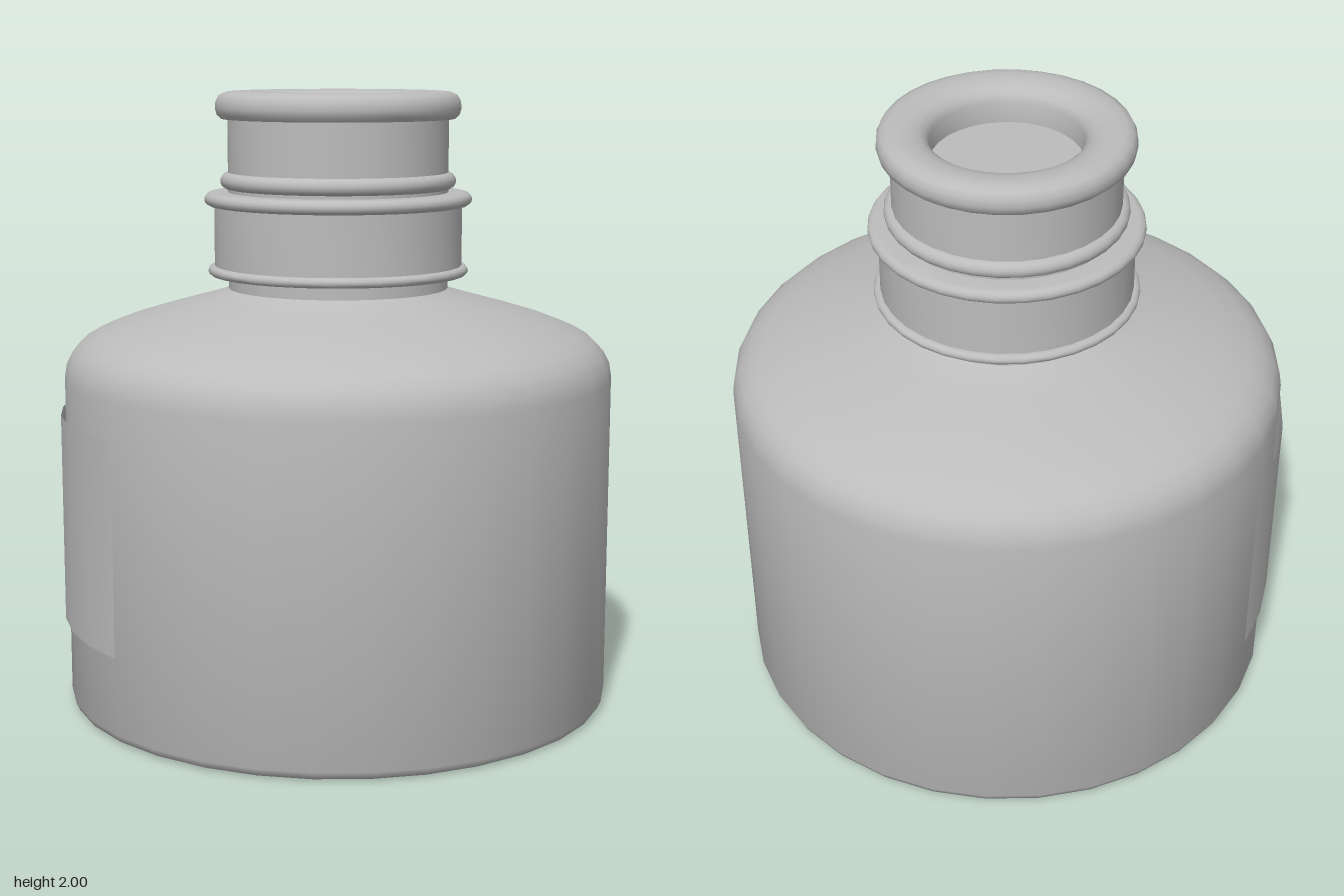
import * as THREE from 'three';
import { toCreasedNormals } from 'three/addons/utils/BufferGeometryUtils.js';

const SIDES = 32;

export function createModel() {
  const bottle = new THREE.Group();
  bottle.name = 'bottle';

  const grey = new THREE.MeshStandardMaterial({ color: 0xbcbcbc, side: THREE.DoubleSide });
  grey.name = 'plain grey';

  const add = (name, geometry) => {
    const mesh = new THREE.Mesh(geometry, grey);
    mesh.name = name;
    bottle.add(mesh);
    return mesh;
  };

  // Turned part from [radius, height] pairs, listed from bottom to top
  const turned = (name, profile, crease = 0.75) => {
    const points = profile.map(([r, y]) => new THREE.Vector2(r, y));
    return add(name, toCreasedNormals(new THREE.LatheGeometry(points, SIDES), crease));
  };

  // Rounded bead around the neck
  const bead = (name, outer, y, halfHeight, depth) => {
    const profile = [];
    for (let i = 0; i <= 8; i++) {
      const a = -Math.PI / 2 + (i / 8) * Math.PI;
      profile.push([outer - depth + depth * Math.cos(a), y + halfHeight * Math.sin(a)]);
    }
    const inner = 0.34;
    turned(name, [[inner, y - halfHeight], ...profile, [inner, y + halfHeight]]);
  };

  // Body with a small base chamfer and a rounded shoulder
  turned('body', [
    [0, 0], [0.868, 0], [0.885, 0.008], [0.895, 0.03], [0.895, 1.08],
    [0.888, 1.125], [0.868, 1.165], [0.835, 1.198], [0.79, 1.225],
    [0.7, 1.26], [0.58, 1.297], [0.46, 1.33], [0.39, 1.35], [0.358, 1.365],
  ]);

  // Neck and its collar
  turned('neck', [[0.358, 1.35], [0.358, 1.92]]);
  turned('collar', [[0.35, 1.41], [0.403, 1.41], [0.403, 1.66], [0.35, 1.66]]);
  bead('collarBottomBead', 0.424, 1.424, 0.016, 0.016);
  bead('collarTopBead', 0.435, 1.655, 0.022, 0.024);
  bead('neckBead', 0.383, 1.714, 0.027, 0.027);

  // Rounded lip that turns into a shallow closed well
  turned('lip', [
    [0.35, 1.912], [0.378, 1.912], [0.392, 1.925], [0.398, 1.945], [0.396, 1.968],
    [0.385, 1.988], [0.363, 1.998], [0.335, 2], [0.3, 1.997], [0.268, 1.988],
    [0.247, 1.972], [0.237, 1.95], [0.237, 1.88], [0, 1.88],
  ]);

  // Thin curved label wrapped around the right side
  const deg = Math.PI / 180;
  const label = add('label', new THREE.CylinderGeometry(
    0.911, 0.911, 0.68, 8, 1, true, 234 * deg, 82 * deg));
  label.position.y = 0.626;

  bottle.position.x = 0.004;
  const model = new THREE.Group();
  model.name = 'model';
  model.add(bottle);
  return model;
}
